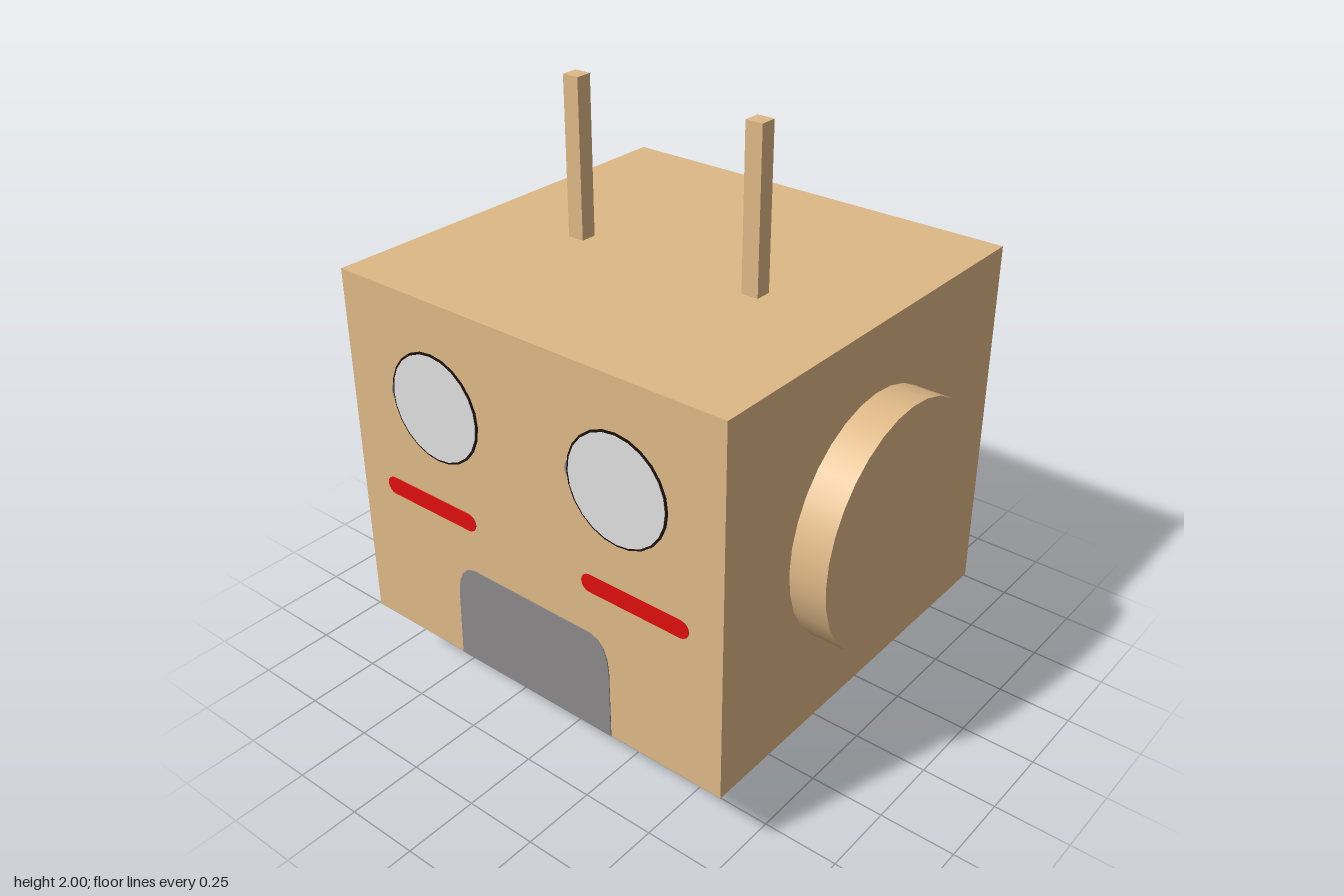
import * as THREE from 'three';

export function createModel() {
  const model = new THREE.Group();
  model.name = 'robotHead';

  const material = (name, color) => {
    const m = new THREE.MeshStandardMaterial({ color });
    m.name = name;
    return m;
  };
  const tan = material('tan', 0xdeb887);
  const lightGrey = material('lightGrey', 0xe0e0e0);
  const grey = material('grey', 0x8b8889);
  const black = material('black', 0x1c0f08);
  const red = material('red', 0xe00e0e);
  // Open tube shows its inner wall too
  const tanOpen = material('tanOpen', 0xdeb887);
  tanOpen.side = THREE.DoubleSide;

  const add = (name, geometry, mat, x, y, z) => {
    const mesh = new THREE.Mesh(geometry, mat);
    mesh.name = name;
    mesh.position.set(x, y, z);
    model.add(mesh);
    return mesh;
  };

  // Head and open neck
  add('head', new THREE.BoxGeometry(1.455, 1.24, 1.4), tan, 0, 0.86, 0);
  add('neck', new THREE.CylinderGeometry(0.31, 0.31, 0.24, 32, 1, true), tanOpen, 0, 0.12, 0);

  // Thin painted details on the face
  const front = 0.7;
  const plate = (shape) => new THREE.ExtrudeGeometry(shape, { depth: 0.003, bevelEnabled: false, curveSegments: 4 });

  // Bar with rounded ends
  const barShape = new THREE.Shape();
  barShape.absarc(0.167, 0, 0.03, -Math.PI / 2, Math.PI / 2);
  barShape.absarc(-0.167, 0, 0.03, Math.PI / 2, Math.PI * 1.5);
  barShape.closePath();

  for (const side of [-1, 1]) {
    const label = side > 0 ? 'left' : 'right';

    // Ear disc
    const ear = add(label + 'Ear', new THREE.CylinderGeometry(0.4, 0.4, 0.13, 32), tan, side * 0.785, 0.86, 0);
    ear.rotation.z = -side * Math.PI / 2;

    // Antenna
    add(label + 'Antenna', new THREE.BoxGeometry(0.058, 0.53, 0.055), tan, side * 0.338, 1.735, 0.06);

    // Eye with dark outline and a small grey smudge at its edge
    const eyeX = side * 0.357;
    const disc = (name, radius, mat, x, z) => {
      const mesh = add(name, new THREE.CylinderGeometry(radius, radius, 0.004, 24), mat, x, 1.13, z);
      mesh.rotation.x = Math.PI / 2;
    };
    disc(label + 'EyeSmudge', 0.04, grey, eyeX - 0.15, front);
    disc(label + 'EyeOutline', 0.181, black, eyeX, front + 0.002);
    disc(label + 'Eye', 0.174, lightGrey, eyeX, front + 0.004);

    // Cheek bar
    add(label + 'Cheek', plate(barShape), red, side * 0.413, 0.773, front);
  }

  // Mouth with rounded upper corners
  const mouth = new THREE.Shape();
  mouth.moveTo(-0.322, 0.24);
  mouth.lineTo(0.314, 0.24);
  mouth.lineTo(0.312, 0.48);
  mouth.quadraticCurveTo(0.308, 0.585, 0.24, 0.593);
  mouth.lineTo(-0.24, 0.595);
  mouth.quadraticCurveTo(-0.308, 0.59, -0.315, 0.48);
  mouth.closePath();
  add('mouth', plate(mouth), grey, 0, 0, front);

  return model;
}
